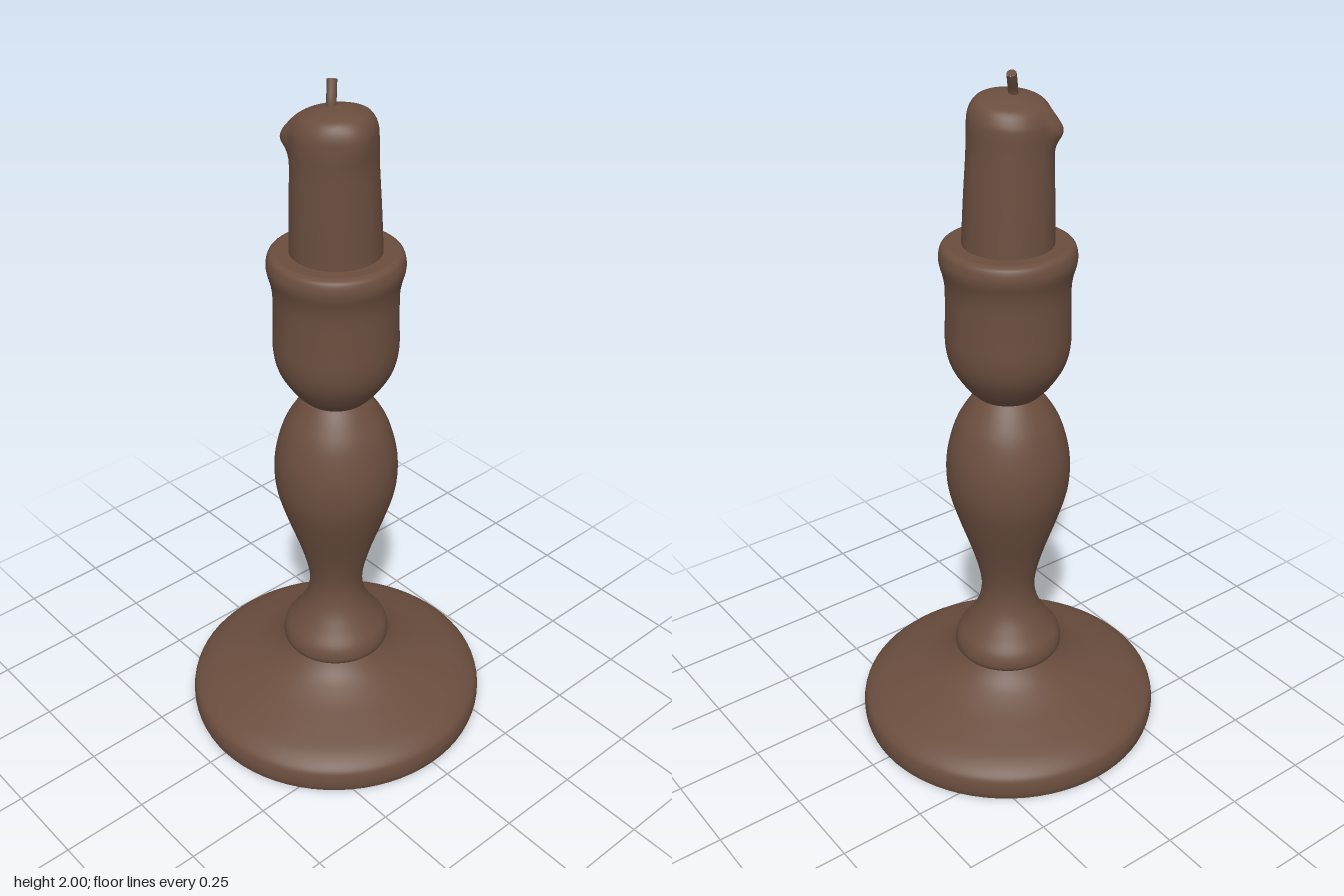
import * as THREE from 'three';

const brown = new THREE.MeshStandardMaterial({ color: 0x6b4e3f });
brown.name = 'brown';

// Smooth curve through [radius, height] pairs
function smooth(points, steps) {
  return new THREE.SplineCurve(points.map(([r, y]) => new THREE.Vector2(r, y))).getPoints(steps);
}

function turned(name, points, steps = 40) {
  const mesh = new THREE.Mesh(new THREE.LatheGeometry(smooth(points, steps), 72), brown);
  mesh.name = name;
  return mesh;
}

function createCandle() {
  const side = smooth([[0.124, 1.53], [0.12, 1.65], [0.114, 1.78], [0.113, 1.85], [0.108, 1.885],
    [0.09, 1.913], [0.06, 1.925], [0.025, 1.932], [0, 1.936]], 48);
  side[side.length - 1].x = 0;
  const geometry = new THREE.LatheGeometry(side, 72);
  const pos = geometry.attributes.position;
  // Drips at the rim: angle measured from +x toward +z
  const drips = [
    { angle: 2.5, width: 0.24, size: 0.026, y: 1.86, height: 0.045 },
    { angle: 0.15, width: 0.35, size: 0.008, y: 1.87, height: 0.05 },
  ];
  for (let i = 0; i < pos.count; i++) {
    let x = pos.getX(i), y = pos.getY(i), z = pos.getZ(i);
    const angle = Math.atan2(z, x), radius = Math.hypot(x, z);
    let push = 0;
    for (const d of drips) {
      const a = Math.atan2(Math.sin(angle - d.angle), Math.cos(angle - d.angle)) / d.width;
      const h = (y - d.y) / d.height;
      push += d.size * Math.exp(-a * a - h * h) * Math.min(1, radius / 0.1);
    }
    const grow = radius > 0 ? 1 + push / radius : 1;
    // The shaft leans a little toward the front, and the left rim stands higher
    const lean = Math.min(1, Math.max(0, (y - 1.53) / 0.3));
    const lift = Math.min(1, Math.max(0, (y - 1.83) / 0.06));
    pos.setXYZ(i, x * grow + 0.004 * lean, y + lift * 0.1 * x - push * 0.3, z * grow + 0.01 * lean);
  }
  geometry.computeVertexNormals();
  // Close the shading seam
  const n = geometry.attributes.normal, rows = side.length, last = pos.count - rows;
  for (let j = 0; j < rows; j++) {
    const v = new THREE.Vector3().fromBufferAttribute(n, j)
      .add(new THREE.Vector3().fromBufferAttribute(n, last + j)).normalize();
    n.setXYZ(j, v.x, v.y, v.z);
    n.setXYZ(last + j, v.x, v.y, v.z);
  }
  const mesh = new THREE.Mesh(geometry, brown);
  mesh.name = 'candle';
  return mesh;
}

function createWick() {
  const wick = new THREE.Group();
  wick.name = 'wick';
  const path = new THREE.CatmullRomCurve3([
    new THREE.Vector3(0.002, 1.91, 0.018), new THREE.Vector3(-0.004, 1.945, 0.012),
    new THREE.Vector3(-0.014, 1.97, 0.002), new THREE.Vector3(-0.022, 1.991, -0.006)]);
  const strand = new THREE.Mesh(new THREE.TubeGeometry(path, 12, 0.013, 10), brown);
  strand.name = 'wickStrand';
  const tip = new THREE.Mesh(new THREE.CircleGeometry(0.013, 10), brown);
  tip.name = 'wickTip';
  tip.position.copy(path.getPoint(1));
  tip.quaternion.setFromUnitVectors(new THREE.Vector3(0, 0, 1), path.getTangent(1));
  wick.add(strand, tip);
  return wick;
}

export function createModel() {
  const model = new THREE.Group();
  model.name = 'candlestick';

  const stand = new THREE.Group();
  stand.name = 'stand';
  stand.scale.z = 1.013;

  // Underside and spreading foot
  stand.add(turned('underside', [[0, 0], [0.437, 0]], 1));
  stand.add(turned('foot', [[0.437, 0], [0.442, 0.02], [0.441, 0.05], [0.43, 0.075], [0.39, 0.103],
    [0.32, 0.13], [0.25, 0.156], [0.195, 0.185], [0.165, 0.21], [0.145, 0.235]]));

  // Collar, narrow neck and swelling stem
  stand.add(turned('stem', [[0.13, 0.226], [0.15, 0.232], [0.158, 0.252], [0.15, 0.285], [0.122, 0.325],
    [0.093, 0.375], [0.079, 0.43], [0.082, 0.49], [0.105, 0.58], [0.142, 0.69], [0.168, 0.78],
    [0.175, 0.85], [0.169, 0.92], [0.146, 1.0], [0.112, 1.06], [0.084, 1.095]], 72));

  // Cup with flared rim
  stand.add(turned('cup', [[0.08, 1.09], [0.095, 1.1], [0.125, 1.135], [0.157, 1.19], [0.17, 1.25],
    [0.169, 1.33], [0.168, 1.41], [0.173, 1.45], [0.182, 1.485], [0.183, 1.508],
    [0.176, 1.53], [0.16, 1.538]], 64));
  stand.add(turned('cupTop', [[0.16, 1.538], [0.1, 1.538]], 1));

  model.add(stand, createCandle(), createWick());
  return model;
}
